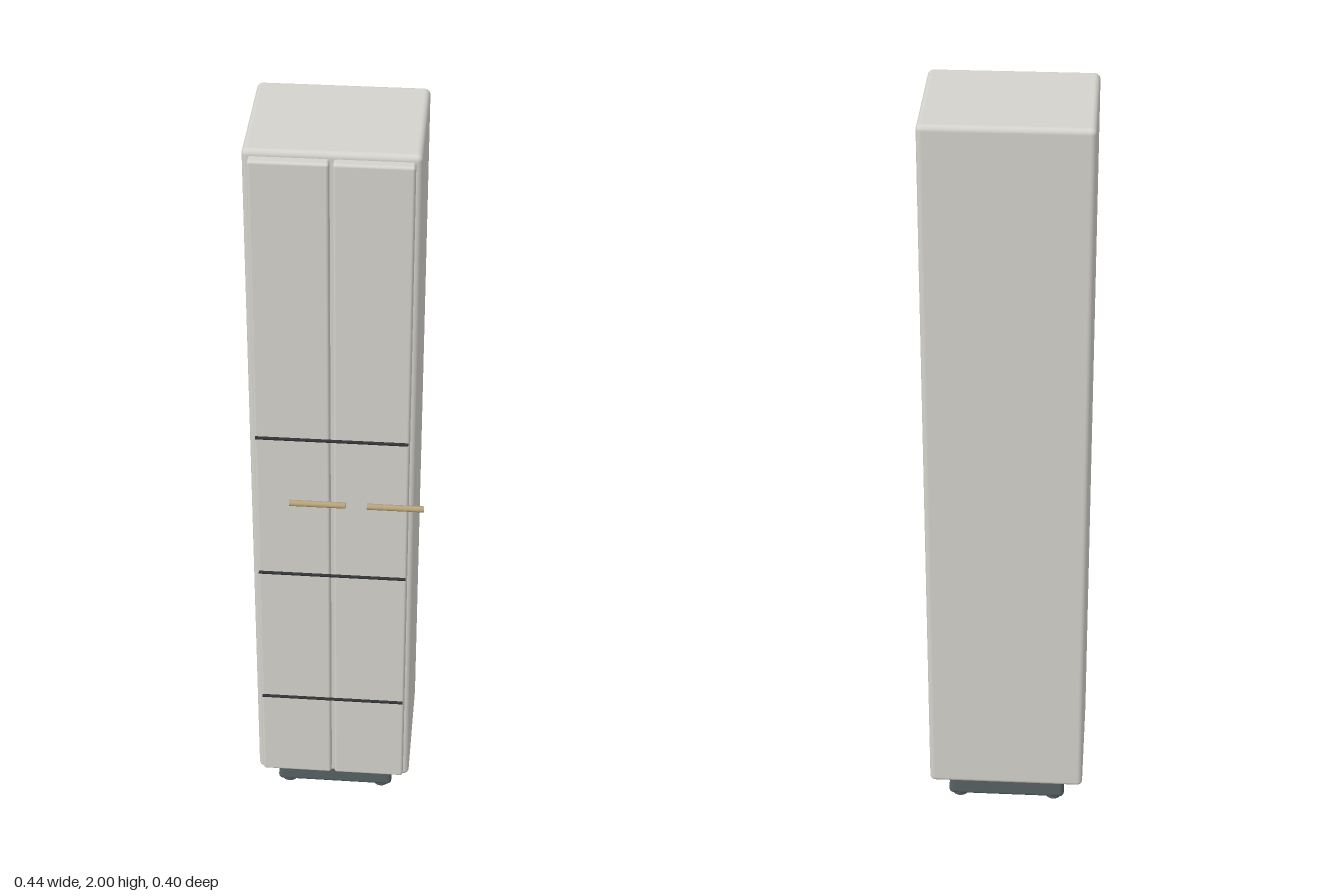
import * as THREE from 'three';
import { RoundedBoxGeometry } from 'three/addons/geometries/RoundedBoxGeometry.js';

const paint = new THREE.MeshStandardMaterial({ color: 0xd4d2cc });
const dark = new THREE.MeshStandardMaterial({ color: 0x566062 });
const seam = new THREE.MeshStandardMaterial({ color: 0x303234 });
const brass = new THREE.MeshStandardMaterial({ color: 0xb5a27a });

export function createModel() {
  const group = new THREE.Group();

  const add = (name, geometry, material, x, y, z) => {
    const mesh = new THREE.Mesh(geometry, material);
    mesh.name = name;
    mesh.position.set(x, y, z);
    group.add(mesh);
    return mesh;
  };

  // Rounded box given by its limits on each axis
  const box = (name, material, [x0, x1], [y0, y1], [z0, z1], radius) =>
    add(name, new RoundedBoxGeometry(x1 - x0, y1 - y0, z1 - z0, 4, radius), material,
      (x0 + x1) / 2, (y0 + y1) / 2, (z0 + z1) / 2);

  // Horizontal rod along x
  const rod = (name, material, x0, x1, y, z, radius, sides) => {
    const mesh = add(name, new THREE.CylinderGeometry(radius, radius, x1 - x0, sides), material,
      (x0 + x1) / 2, y, z);
    mesh.rotation.z = Math.PI / 2;
  };

  // Tall cabinet body
  box('cabinetBody', paint, [-0.219, 0.193], [0.08, 2], [-0.2, 0.145], 0.014);

  // Pair of door panels
  box('rightDoor', paint, [-0.204, -0.018], [0.1, 1.985], [0.13, 0.17], 0.007);
  box('leftDoor', paint, [-0.009, 0.178], [0.1, 1.985], [0.13, 0.17], 0.007);

  // Thin cross rails standing just off the doors
  for (const y of [0.383, 0.807, 1.23]) {
    rod('crossRail', seam, -0.2, 0.175, y, 0.184, 0.004, 12);
  }

  // Round bar handles
  rod('rightHandle', brass, -0.118, 0.023, 1.04, 0.1905, 0.0078, 20);
  rod('leftHandle', brass, 0.076, 0.218, 1.04, 0.1905, 0.0078, 20);

  // Recessed plinth, slightly wider at the bottom
  const plinth = box('plinth', dark, [-0.17, 0.145], [0.01, 0.09], [-0.167, 0.117], 0.012);
  const p = plinth.geometry.attributes.position;
  for (let i = 0; i < p.count; i++) {
    const s = 1 - 0.025 * (p.getY(i) / 0.08 + 0.5);
    p.setX(i, p.getX(i) * s);
    p.setZ(i, p.getZ(i) * s);
  }
  plinth.geometry.computeVertexNormals();

  // Low feet under the plinth corners
  for (const x of [-0.14, 0.115]) {
    for (const z of [-0.138, 0.088]) {
      add('foot', new THREE.CylinderGeometry(0.024, 0.021, 0.03, 20), dark, x, 0.015, z);
    }
  }

  return group;
}
